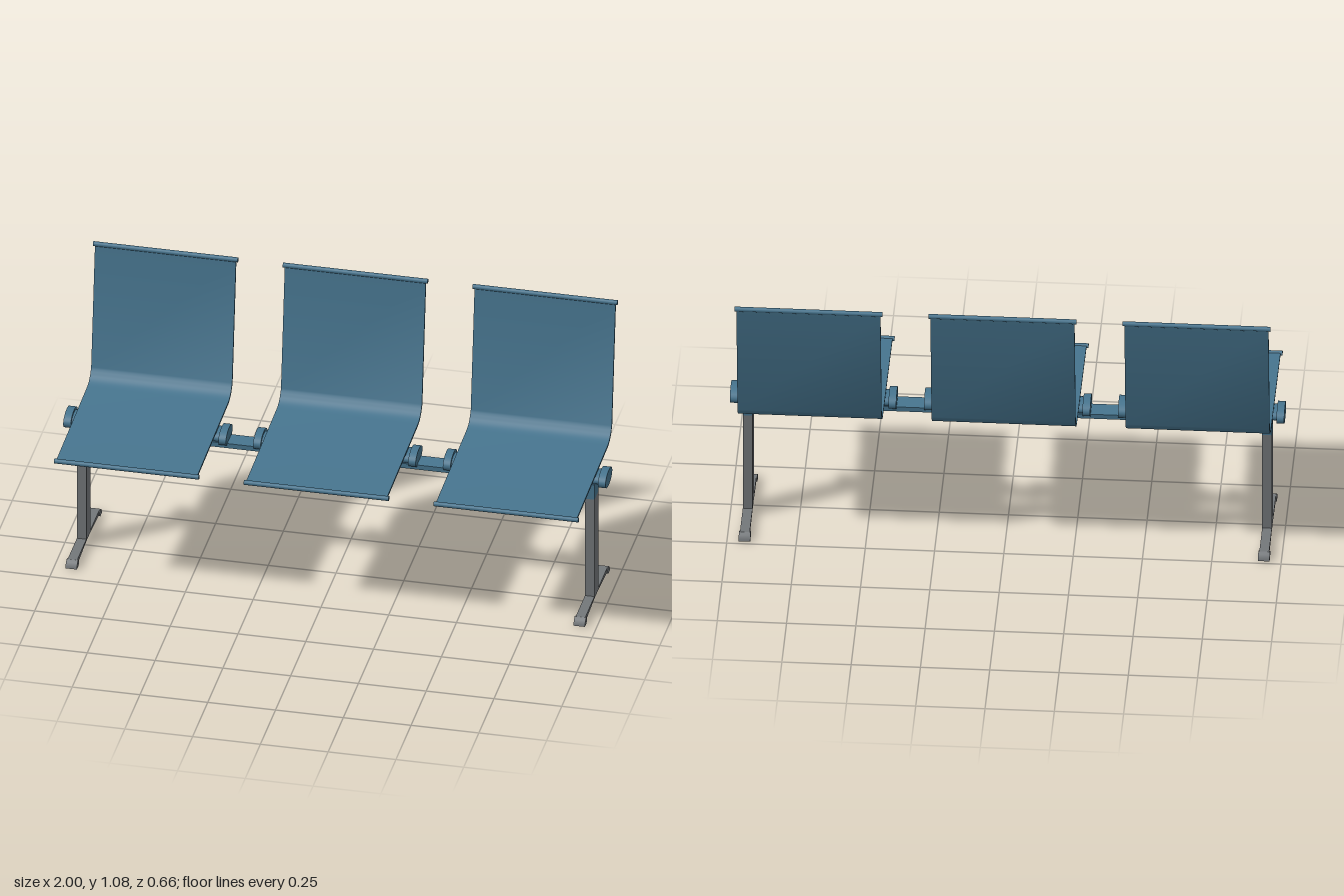
import * as THREE from 'three';
import { toCreasedNormals } from 'three/addons/utils/BufferGeometryUtils.js';

const blue = new THREE.MeshStandardMaterial({ color: 0x47758f });
blue.name = 'blueMetal';
const grey = new THREE.MeshStandardMaterial({ color: 0x73777a });
grey.name = 'greyMetal';

const AXIS_Z = -0.028; // centre line of the beam and legs

function add(parent, name, geometry, material, x = 0, y = 0, z = 0) {
  const mesh = new THREE.Mesh(geometry, material);
  mesh.name = name;
  mesh.position.set(x, y, z);
  parent.add(mesh);
  return mesh;
}

// Extrude a side outline of [z, y] points to a width along x, centred on x = 0
function sideExtrude(points, width) {
  const shape = new THREE.Shape(points.map(([z, y]) => new THREE.Vector2(z, y)));
  const geo = new THREE.ExtrudeGeometry(shape, { depth: width, bevelEnabled: false });
  geo.translate(0, 0, -width / 2);
  geo.rotateY(-Math.PI / 2);
  return toCreasedNormals(geo, 0.5);
}

// Rod of elliptical section lying along x
function rod(length, halfHeight, halfDepth, segments = 32) {
  const geo = new THREE.CylinderGeometry(1, 1, length, segments);
  geo.rotateZ(Math.PI / 2);
  geo.scale(1, halfHeight, halfDepth);
  return geo;
}

// Seat and back as one bent sheet of even thickness
function seatSheet() {
  const bend = new THREE.QuadraticBezierCurve(
    new THREE.Vector2(-0.19, 0.544), new THREE.Vector2(-0.236, 0.547), new THREE.Vector2(-0.259, 0.592));
  const line = [new THREE.Vector2(0.325, 0.53), ...bend.getPoints(10), new THREE.Vector2(-0.322, 1.067)];
  const half = 0.004;
  const upper = [], lower = [];
  line.forEach((p, i) => {
    const a = line[Math.max(i - 1, 0)], b = line[Math.min(i + 1, line.length - 1)];
    const t = b.clone().sub(a).normalize();
    upper.push([p.x + t.y * half, p.y - t.x * half]);
    lower.push([p.x - t.y * half, p.y + t.x * half]);
  });
  return sideExtrude([...upper, ...lower.reverse()], 0.52);
}

function createSeat(x) {
  const seat = new THREE.Group();
  seat.name = 'seat';
  seat.position.x = x;
  add(seat, 'seatAndBack', seatSheet(), blue);
  add(seat, 'frontRod', rod(0.534, 0.009, 0.009, 16), blue, 0, 0.53, 0.323);
  add(seat, 'topRod', rod(0.534, 0.009, 0.009, 16), blue, 0, 1.068, -0.322);
  // Oval carrier under the seat with a larger cap at each end
  add(seat, 'carrier', rod(0.58, 0.022, 0.043), blue, 0, 0.511, AXIS_Z);
  for (const s of [-1, 1]) {
    add(seat, 'carrierCap', rod(0.028, 0.031, 0.057), blue, s * 0.286, 0.511, AXIS_Z);
  }
  return seat;
}

function createLeg(x) {
  const leg = new THREE.Group();
  leg.name = 'leg';
  leg.position.x = x;
  add(leg, 'post', new THREE.BoxGeometry(0.035, 0.412, 0.068), grey, 0, 0.226, AXIS_Z);
  add(leg, 'collar', new THREE.BoxGeometry(0.035, 0.046, 0.068), blue, 0, 0.455, AXIS_Z);
  // Spreading foot, thin at the post and drooping to the tips
  const arm = [[-0.185, 0.008], [-0.034, 0.02], [0.034, 0.02], [0.185, 0.008], [0.185, 0.028], [-0.185, 0.028]];
  add(leg, 'foot', sideExtrude(arm, 0.035), grey, 0, 0, AXIS_Z);
  for (const s of [-1, 1]) {
    const pad = [[0.182, 0.001], [0.209, 0.002], [0.208, 0.008], [0.198, 0.022], [0.187, 0.029], [0.17, 0.022], [0.17, 0.008]];
    const points = pad.map(([z, y]) => [z * s, y]);
    add(leg, 'footPad', sideExtrude(points, 0.042), grey, 0, 0, AXIS_Z);
  }
  return leg;
}

export function createModel() {
  const model = new THREE.Group();
  model.name = 'threeSeatBench';
  for (const x of [-0.7, 0, 0.7]) model.add(createSeat(x));
  for (const x of [-0.937, 0.937]) model.add(createLeg(x));
  // Flat beam joining the seats
  add(model, 'beam', new THREE.BoxGeometry(1.91, 0.019, 0.068), blue, 0, 0.484, AXIS_Z);
  return model;
}
